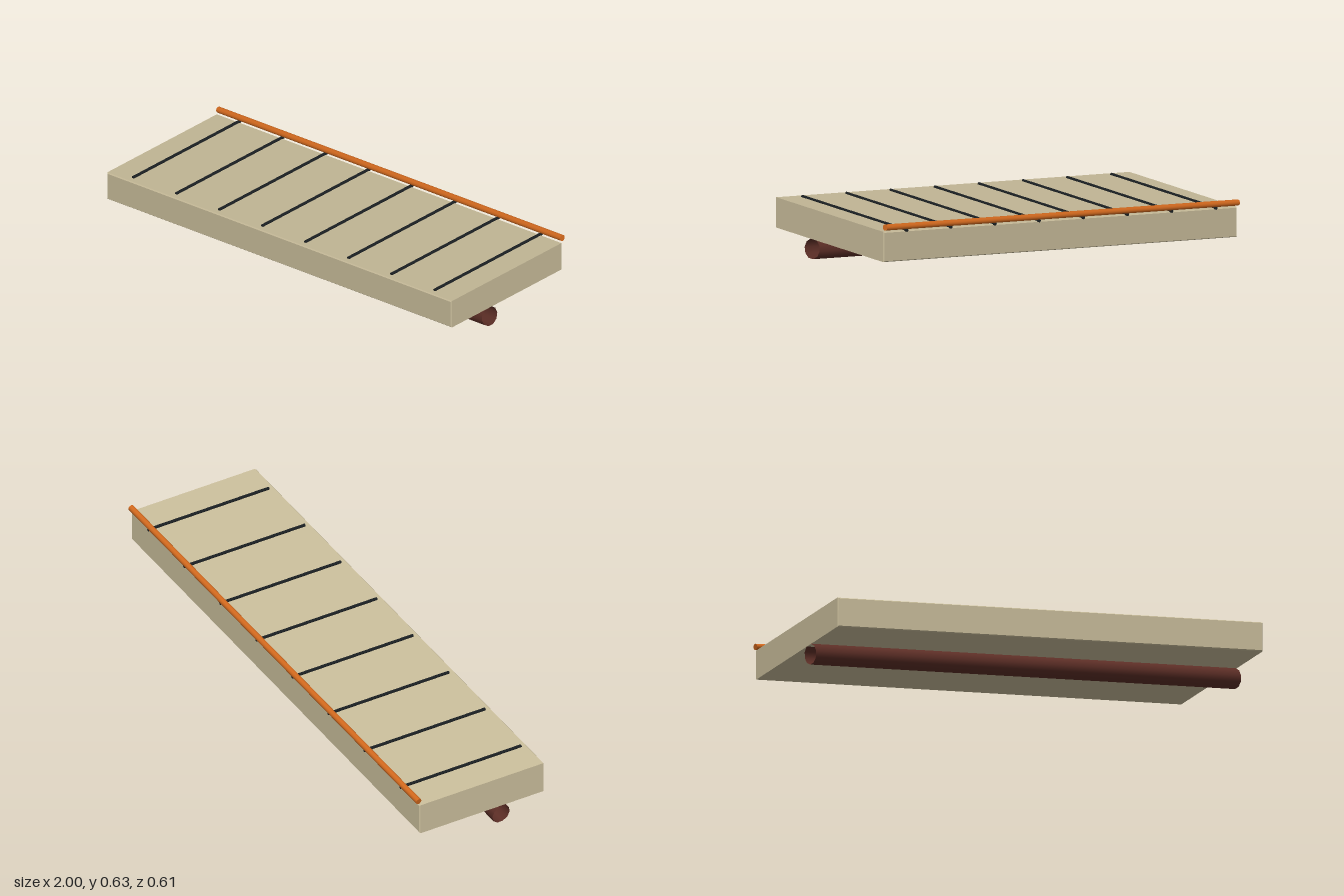
import * as THREE from 'three';

const mat = (name, color, side = THREE.FrontSide) => {
  const m = new THREE.MeshStandardMaterial({ color, side });
  m.name = name;
  return m;
};

export function createModel() {
  const group = new THREE.Group();
  const stone = mat('sandstone', 0xc8bc9a);
  const orange = mat('orange rail', 0xd2691e);
  const brown = mat('brown pipe', 0x5c2e26, THREE.DoubleSide);
  const black = mat('dark strip', 0x1a1f22);

  const add = (name, geometry, material) => {
    const mesh = new THREE.Mesh(geometry, material);
    mesh.name = name;
    group.add(mesh);
    return mesh;
  };

  // Turns an upright cylinder so that it runs between two points in the xy plane
  const layBetween = (mesh, x0, y0, x1, y1, z) => {
    mesh.position.set((x0 + x1) / 2, (y0 + y1) / 2, z);
    mesh.rotation.z = Math.atan2(y1 - y0, x1 - x0) - Math.PI / 2;
  };

  // Sloping slab with upright ends and slightly bevelled edges
  const left = -0.995, right = 0.99, zBack = -0.288, zFront = 0.305, bevel = 0.004;
  const side = new THREE.Shape([
    new THREE.Vector2(left, 0.079),
    new THREE.Vector2(right, 0.475),
    new THREE.Vector2(right, 0.601),
    new THREE.Vector2(left, 0.205),
  ]);
  const slab = new THREE.ExtrudeGeometry(side, {
    depth: zFront - zBack - 2 * bevel,
    bevelEnabled: true,
    bevelSize: bevel,
    bevelThickness: bevel,
    bevelOffset: -bevel,
    bevelSegments: 1,
  });
  slab.translate(0, 0, zBack + bevel);
  add('rampSlab', slab, stone);

  // Thin round strips laid across the top at even spacing
  const slope = (0.601 - 0.205) / (right - left);
  const stripLength = 0.575;
  for (let i = 0; i < 8; i++) {
    const x = -0.003 + (i - 3.5) * 0.248;
    const strip = add('crossStrip', new THREE.CylinderGeometry(0.0065, 0.0065, stripLength, 8), black);
    strip.rotation.x = Math.PI / 2;
    strip.position.set(x, 0.205 + (x - left) * slope + 0.002, 0.28 - stripLength / 2);
  }

  // Rail along the back edge
  const rail = add('edgeRail', new THREE.CylinderGeometry(0.0125, 0.0125, 2.02, 12), orange);
  layBetween(rail, -0.994, 0.224, 0.987, 0.62, -0.292);

  // Open pipe under the slab, with a slot along its top
  const arc = Math.PI * 1.75;
  const pipe = add('underPipe',
    new THREE.CylinderGeometry(0.041, 0.041, 2.023, 9, 1, true, (Math.PI - arc) / 2, arc), brown);
  layBetween(pipe, -0.992, 0.039, 0.992, 0.436, 0.102);

  return group;
}
